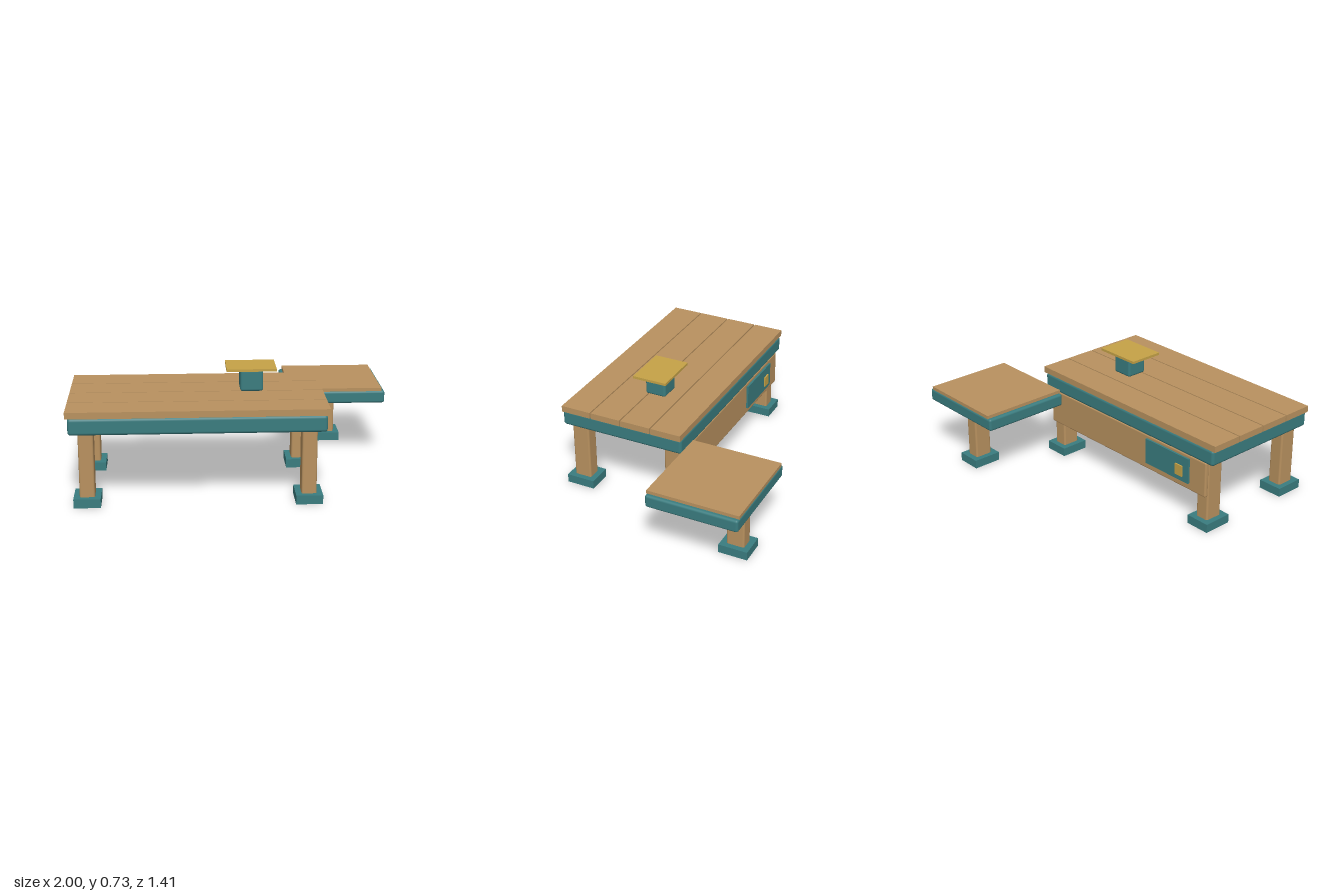
import * as THREE from 'three';
import { RoundedBoxGeometry } from 'three/addons/geometries/RoundedBoxGeometry.js';

function makeMaterial(name, color) {
  const m = new THREE.MeshStandardMaterial({ color });
  m.name = name;
  return m;
}

export function createModel() {
  const root = new THREE.Group();
  root.name = 'deskAndSeat';
  const wood = makeMaterial('wood', 0xb8915f);
  const teal = makeMaterial('teal', 0x3a7c7f);
  const gold = makeMaterial('gold', 0xc5a247);

  // Box between two limits on each axis; a radius rounds its edges
  function box(parent, name, material, [x0, x1], [y0, y1], [z0, z1], radius = 0) {
    const size = [x1 - x0, y1 - y0, z1 - z0];
    const geometry = radius
      ? new RoundedBoxGeometry(...size, 3, radius)
      : new THREE.BoxGeometry(...size);
    const mesh = new THREE.Mesh(geometry, material);
    mesh.name = name;
    mesh.position.set((x0 + x1) / 2, (y0 + y1) / 2, (z0 + z1) / 2);
    parent.add(mesh);
    return mesh;
  }

  // Upright post on a square foot
  function leg(parent, name, x, z, top) {
    const g = new THREE.Group();
    g.name = name;
    g.position.set(x, 0, z);
    box(g, 'post', wood, [-0.045, 0.045], [0.01, top], [-0.057, 0.057], 0.012);
    box(g, 'foot', teal, [-0.08, 0.08], [0, 0.055], [-0.093, 0.093]);
    parent.add(g);
  }

  // Table: frame, four planks and four legs
  const table = new THREE.Group();
  table.name = 'table';
  root.add(table);
  box(table, 'tableFrame', teal, [-0.985, 0.525], [0.443, 0.545], [-0.117, 0.702], 0.018);
  for (let i = 0; i < 4; i++) {
    const z = -0.117 + i * 0.2055;
    box(table, 'plank', wood, [-1, 0.54], [0.543, 0.583], [z, z + 0.198]);
  }
  for (const x of [-0.885, 0.425]) {
    leg(table, 'frontLeg', x, 0.615, 0.45);
    leg(table, 'backLeg', x, -0.031, 0.45);
  }

  // Panel across the back legs, with a plate and a small gold tab
  box(table, 'backPanel', wood, [-0.93, 0.47], [0.217, 0.446], [-0.113, -0.085], 0.01);
  box(table, 'panelPlate', teal, [-0.8, -0.435], [0.262, 0.425], [-0.126, -0.112]);
  box(table, 'panelTab', gold, [-0.755, -0.697], [0.295, 0.365], [-0.135, -0.126]);

  // Stand on the table top
  const stand = new THREE.Group();
  stand.name = 'stand';
  root.add(stand);
  box(stand, 'standBlock', teal, [0.035, 0.175], [0.583, 0.718], [0.17, 0.308], 0.015);
  box(stand, 'standTray', gold, [-0.05, 0.253], [0.718, 0.734], [0.126, 0.35]);

  // Seat behind the table on a single post
  const seat = new THREE.Group();
  seat.name = 'seat';
  root.add(seat);
  box(seat, 'seatFrame', teal, [0.355, 0.998], [0.368, 0.449], [-0.705, -0.122], 0.015);
  box(seat, 'seatTop', wood, [0.378, 0.975], [0.448, 0.47], [-0.704, -0.123]);
  leg(seat, 'seatPost', 0.675, -0.567, 0.353);

  return root;
}
